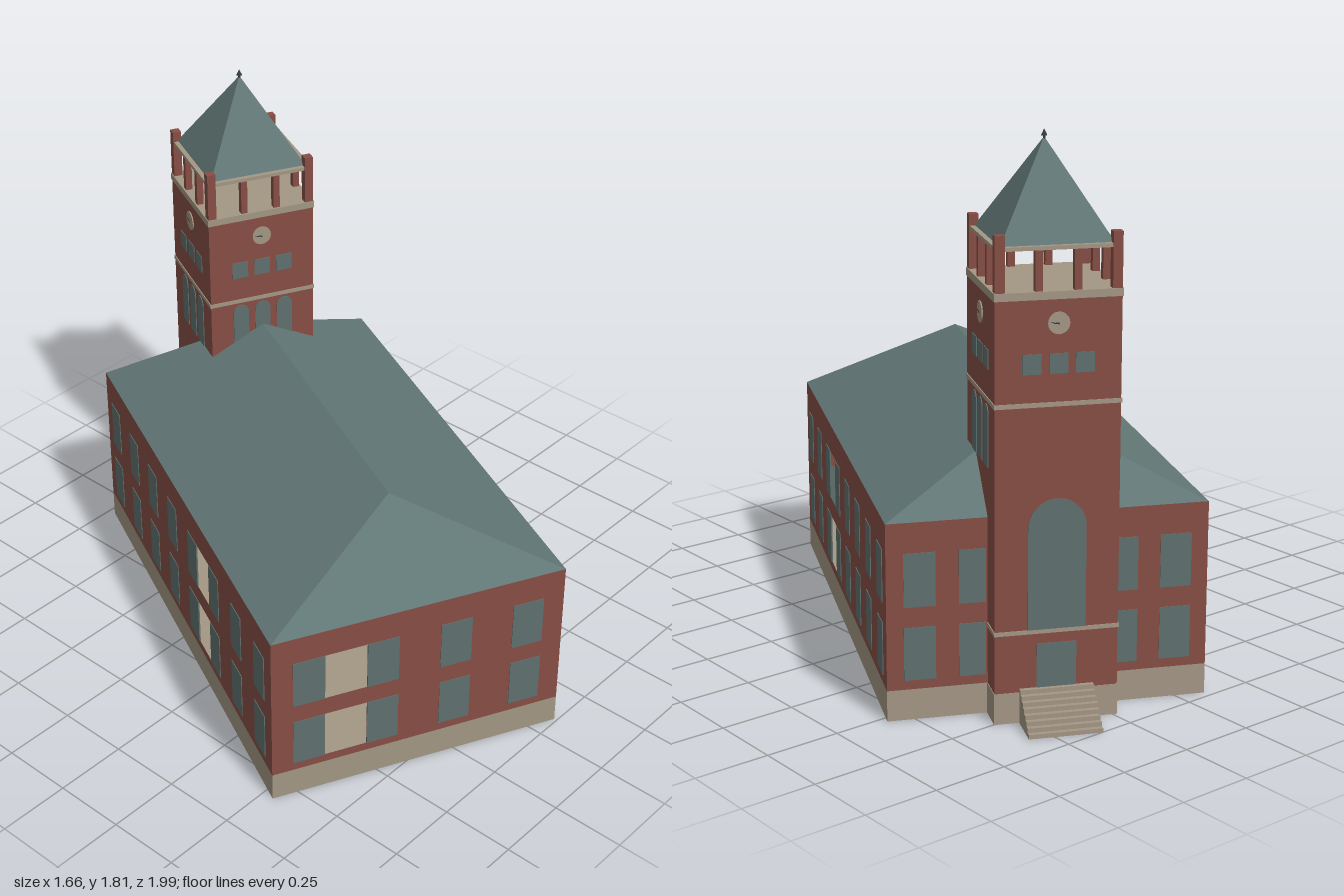
import * as THREE from 'three';

const mat = (name, color, side = THREE.FrontSide) => {
  const m = new THREE.MeshStandardMaterial({ color, side });
  m.name = name;
  return m;
};
const brick = mat('brick', 0x874e45, THREE.DoubleSide);
const stone = mat('stone', 0xa39684);
const slate = mat('slate', 0x617775, THREE.DoubleSide);
const glass = mat('glass', 0x5f7170);
const iron = mat('iron', 0x353b3b);

// Main dimensions, in the building's own axes
const W = 0.511, D = 0.843, BASE = 0.1, EAVES = 0.64, RIDGE = 0.9, RIDGE_HALF = 0.572;
const T = 0.194, TZ = -0.745;
const ROWS = [[0.13, 0.302], [0.368, 0.542]];

function add(parent, name, geo, material, x = 0, y = 0, z = 0) {
  const m = new THREE.Mesh(geo, material);
  m.name = name;
  m.position.set(x, y, z);
  parent.add(m);
  return m;
}

// Box given by its lower and upper height
function block(parent, name, material, w, y0, y1, d, x = 0, z = 0) {
  return add(parent, name, new THREE.BoxGeometry(w, y1 - y0, d), material, x, (y0 + y1) / 2, z);
}

function flat(geo) {
  const g = geo.index ? geo.toNonIndexed() : geo;
  g.computeVertexNormals();
  return g;
}

// A group whose +z is the outward direction of one face
function face(parent, name, angle) {
  const g = new THREE.Group();
  g.name = name;
  g.rotation.y = angle;
  parent.add(g);
  return g;
}

function rect(P, x0, x1, y0, y1) {
  const p = new P();
  p.moveTo(x0, y0);
  p.lineTo(x1, y0);
  p.lineTo(x1, y1);
  p.lineTo(x0, y1);
  p.closePath();
  return p;
}

// Brick wall with two stacked openings and columns of windows
function wall(parent, name, angle, width, dist, columns, openX, openW) {
  const g = face(parent, name, angle);
  const shape = rect(THREE.Shape, -width / 2, width / 2, BASE, EAVES);
  if (openW) {
    for (const [y0, y1] of ROWS) {
      shape.holes.push(rect(THREE.Path, openX - openW / 2, openX + openW / 2, y0, y1));
    }
  }
  add(g, name + 'Brick', new THREE.ShapeGeometry(shape), brick, 0, 0, dist);
  for (const [x, w] of columns) {
    for (const [y0, y1] of ROWS) block(g, 'window', glass, w, y0, y1, 0.005, x, dist);
  }
}

// Round-headed window plate
function archWindow(parent, name, w, y0, y1, x, z) {
  const r = w / 2, s = new THREE.Shape();
  s.moveTo(-r, y0);
  s.lineTo(r, y0);
  s.lineTo(r, y1 - r);
  s.absarc(0, y1 - r, r, 0, Math.PI, false);
  s.closePath();
  const geo = new THREE.ExtrudeGeometry(s, { depth: 0.003, bevelEnabled: false, curveSegments: 12 });
  add(parent, name, geo, glass, x, 0, z);
}

function clock(parent, y, z) {
  const disc = new THREE.CylinderGeometry(0.034, 0.034, 0.004, 20).rotateX(Math.PI / 2);
  add(parent, 'clockFace', disc, stone, 0, y, z + 0.002);
  block(parent, 'hourHand', iron, 0.016, y - 0.0015, y + 0.0015, 0.002, -0.008, z + 0.005);
  const minute = block(parent, 'minuteHand', iron, 0.026, y - 0.001, y + 0.001, 0.002, -0.011, z + 0.005);
  minute.rotation.z = -0.25;
}

function hipRoof() {
  const v = [[-W, EAVES, -D], [W, EAVES, -D], [W, EAVES, D], [-W, EAVES, D],
    [0, RIDGE, -RIDGE_HALF], [0, RIDGE, RIDGE_HALF]];
  const faces = [3, 2, 5, 2, 1, 4, 2, 4, 5, 1, 0, 4, 0, 3, 5, 0, 5, 4];
  const g = new THREE.BufferGeometry();
  g.setAttribute('position', new THREE.Float32BufferAttribute(faces.flatMap(i => v[i]), 3));
  return flat(g);
}

function buildHall(parent) {
  const hall = face(parent, 'hall', 0);
  block(hall, 'plinth', stone, 2 * W, 0, BASE, 2 * D);
  add(hall, 'hipRoof', hipRoof(), slate);

  const endCols = [], sideCols = [];
  for (let i = 0; i < 4; i++) endCols.push([(i - 1.5) * W / 2, 0.109]);
  for (let i = 0; i < 8; i++) sideCols.push([(i - 3.5) * D / 4, 0.091]);
  const backCols = [[-0.407, 0.1], [-0.242, 0.085], [0.242, 0.085], [0.407, 0.1]];
  wall(hall, 'frontWall', 0, 2 * W, D, endCols, -W / 2, 0.146);
  wall(hall, 'leftWall', Math.PI / 2, 2 * D, W, sideCols, -D / 4, 0.12);
  wall(hall, 'rightWall', -Math.PI / 2, 2 * D, W, sideCols, D / 4, 0.12);
  wall(hall, 'backWall', Math.PI, 2 * W, D, backCols, 0, 0);
}

function buildTower(parent) {
  const tower = face(parent, 'tower', 0);
  tower.position.z = TZ;
  block(tower, 'towerPlinth', stone, 2 * T + 0.004, 0, BASE, 2 * T + 0.004);
  block(tower, 'towerShaft', brick, 2 * T, BASE, 1.332, 2 * T);
  block(tower, 'lowerCourse', stone, 2 * T + 0.006, 0.288, 0.301, 2 * T + 0.006);
  block(tower, 'upperCourse', stone, 2 * T + 0.006, 1.005, 1.019, 2 * T + 0.006);
  block(tower, 'cornice', stone, 2 * T + 0.006, 1.332, 1.356, 2 * T + 0.006);

  // Four sides: clock, windows and belfry arcade
  const P = T - 0.015;
  for (let i = 0; i < 4; i++) {
    const g = face(tower, 'towerSide', i * Math.PI / 2);
    clock(g, 1.26, T);
    for (const x of [-0.082, 0, 0.082]) {
      block(g, 'smallWindow', glass, 0.058, 1.106, 1.168, 0.005, x, T);
      if (i !== 2) archWindow(g, 'tallWindow', 0.057, 0.8, 0.995, x, T);
    }
    block(g, 'cornerPost', brick, 0.03, 1.356, 1.527, 0.03, P, P);
    for (const x of [-P / 3, P / 3]) block(g, 'pillar', brick, 0.023, 1.356, 1.48, 0.023, x, P);
    block(g, 'lintel', stone, 2 * P, 1.479, 1.491, 0.024, 0, P);
    if (i === 2) {
      archWindow(g, 'greatWindow', 0.182, 0.301, 0.717, 0, T);
      block(g, 'door', glass, 0.125, 0.105, 0.255, 0.006, 0, T);
    }
  }

  // Pyramid roof and finial
  const spire = flat(new THREE.ConeGeometry(0.177 * Math.SQRT2, 0.298, 4).rotateY(Math.PI / 4));
  add(tower, 'spire', spire, slate, 0, 1.486 + 0.149, 0);
  add(tower, 'finialStem', new THREE.CylinderGeometry(0.004, 0.004, 0.018, 8), iron, 0, 1.783, 0);
  add(tower, 'finialTip', new THREE.ConeGeometry(0.01, 0.02, 8), iron, 0, 1.797, 0);
}

function buildSteps(parent) {
  const steps = face(parent, 'entranceSteps', 0);
  const n = 8, start = TZ - T, run = 0.128, rise = 0.112;
  for (let i = 0; i < n; i++) {
    const d = run * (i + 1) / n;
    block(steps, 'step', stone, 0.233, rise * (n - 1 - i) / n, rise * (n - i) / n, d, 0, start - d / 2);
  }
}

export function createModel() {
  const model = new THREE.Group();
  model.name = 'towerHall';
  const body = face(model, 'building', -THREE.MathUtils.degToRad(26));
  body.position.z = 0.008;
  buildHall(body);
  buildTower(body);
  buildSteps(body);
  return model;
}
